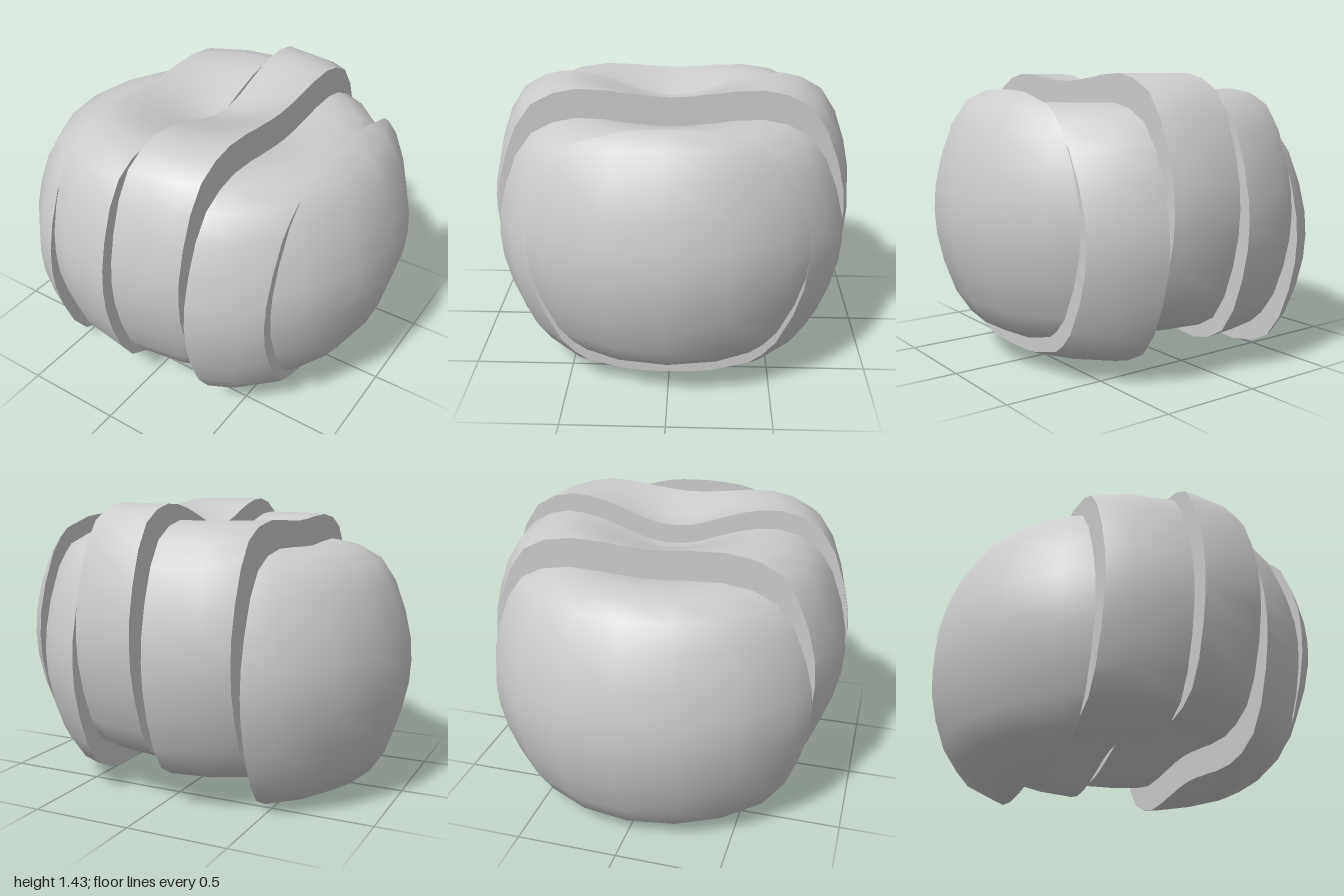
import * as THREE from 'three';

// Upper half of the dimpled, apple-like profile: [radius, height above the middle]
const upper = [
  [0.92, 0], [0.912, 0.12], [0.88, 0.265], [0.825, 0.42], [0.75, 0.535], [0.65, 0.592],
  [0.55, 0.614], [0.45, 0.608], [0.36, 0.588], [0.26, 0.555], [0.15, 0.515], [0.07, 0.497], [0, 0.492],
];

// Slices from -x to +x: cut limits in the whole body, then the shift of each slice
const slices = [
  { name: 'rightEndSlice', min: -2, max: -0.395, dx: -0.08, dy: 0 },
  { name: 'rightInnerSlice', min: -0.395, max: -0.005, dx: -0.035, dy: 0.13 },
  { name: 'middleSlice', min: -0.005, max: 0.325, dx: 0.025, dy: 0.205 },
  { name: 'leftInnerSlice', min: 0.325, max: 0.63, dx: 0.05, dy: 0.07 },
  { name: 'leftEndSlice', min: 0.63, max: 2, dx: 0.08, dy: 0.148 },
];

function makeBody() {
  const top = upper.map(([r, y]) => new THREE.Vector2(r, y));
  const bottom = upper.slice(1).reverse().map(([r, y]) => new THREE.Vector2(r, -y));
  return new THREE.LatheGeometry([...bottom, ...top], 20).toNonIndexed();
}

// Keep the part of a polygon where side * (x - limit) >= 0
function clip(poly, limit, side) {
  const out = [];
  poly.forEach((a, i) => {
    const b = poly[(i + 1) % poly.length];
    const da = side * (a.p.x - limit), db = side * (b.p.x - limit);
    if (da >= 0) out.push(a);
    if (da * db < 0) {
      const t = da / (da - db);
      const p = a.p.clone().lerp(b.p, t);
      p.x = limit;
      out.push({ p, n: a.n.clone().lerp(b.n, t).normalize() });
    }
  });
  return out;
}

// Cut one slab out of the body and close its flat faces
function sliceGeometry(body, min, max) {
  const pos = body.attributes.position, nor = body.attributes.normal;
  const positions = [], normals = [];
  const add = (p, n) => {
    positions.push(p.x, p.y, p.z);
    normals.push(n.x, n.y, n.z);
  };
  for (let i = 0; i < pos.count; i += 3) {
    let poly = [0, 1, 2].map((k) => ({
      p: new THREE.Vector3().fromBufferAttribute(pos, i + k),
      n: new THREE.Vector3().fromBufferAttribute(nor, i + k),
    }));
    poly = clip(clip(poly, min, 1), max, -1);
    // Smooth skin
    for (let k = 1; k + 1 < poly.length; k++) {
      for (const v of [poly[0], poly[k], poly[k + 1]]) add(v.p, v.n);
    }
    // Flat cut faces, fanned from the centre of the section
    for (const [limit, side] of [[min, -1], [max, 1]]) {
      const centre = new THREE.Vector3(limit, 0, 0), n = new THREE.Vector3(side, 0, 0);
      poly.forEach((a, k) => {
        const b = poly[(k + 1) % poly.length];
        if (Math.abs(a.p.x - limit) > 1e-6 || Math.abs(b.p.x - limit) > 1e-6) return;
        for (const p of [b.p, a.p, centre]) add(p, n);
      });
    }
  }
  const geometry = new THREE.BufferGeometry();
  geometry.setAttribute('position', new THREE.Float32BufferAttribute(positions, 3));
  geometry.setAttribute('normal', new THREE.Float32BufferAttribute(normals, 3));
  return geometry;
}

export function createModel() {
  const model = new THREE.Group();
  model.name = 'slicedApple';
  const material = new THREE.MeshStandardMaterial({ color: 0xcccccc });
  const body = makeBody();
  for (const { name, min, max, dx, dy } of slices) {
    const mesh = new THREE.Mesh(sliceGeometry(body, min, max), material);
    mesh.name = name;
    mesh.position.set(dx, 0.614 + dy, 0);
    model.add(mesh);
  }
  return model;
}
